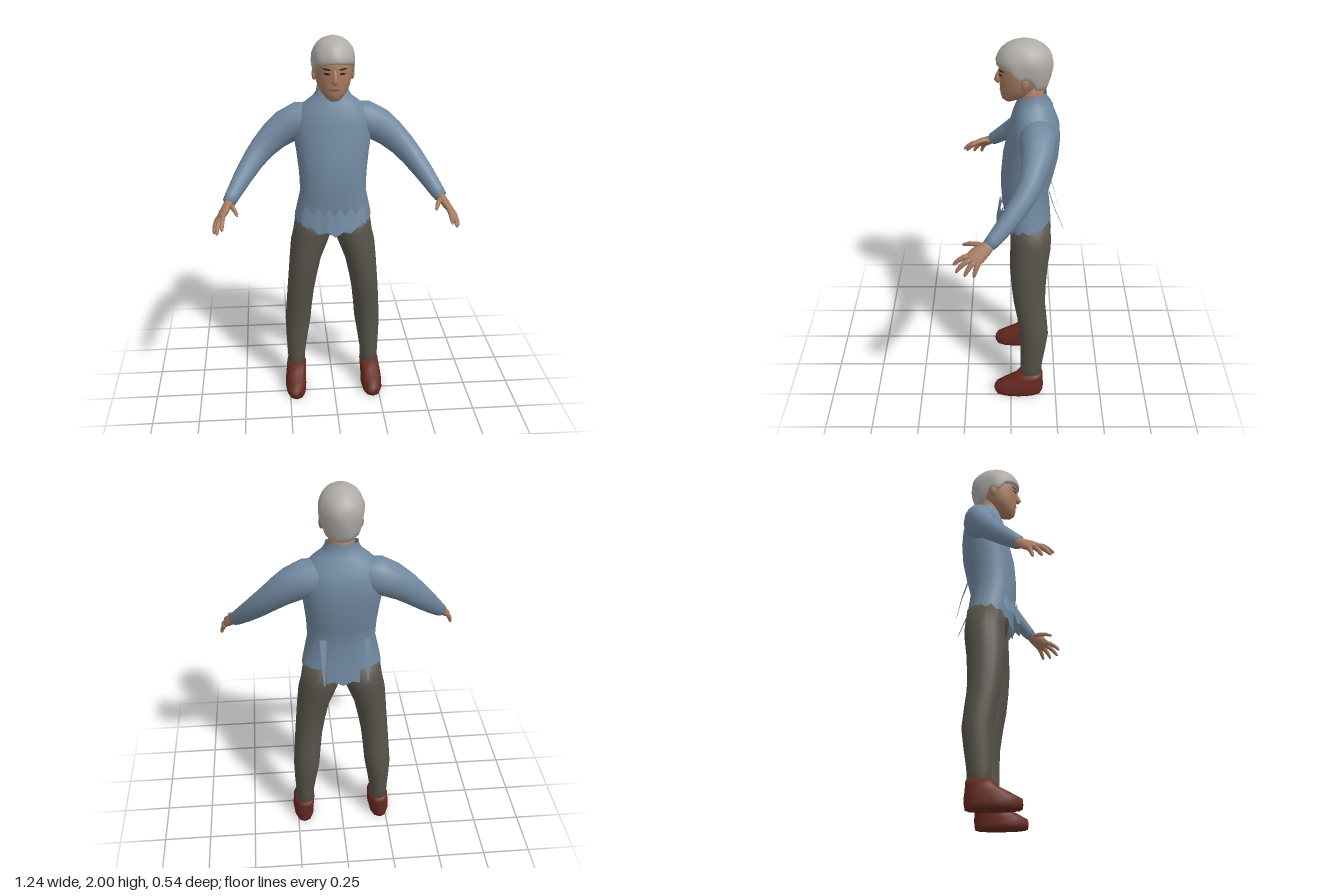
import * as THREE from 'three';

const mat = (name, color, side = THREE.FrontSide) => {
  const m = new THREE.MeshStandardMaterial({ color, side });
  m.name = name;
  return m;
};

// Skin over a stack of rings, each a list of Vector3 of the same length
function skinRings(rings, capped = true) {
  const n = rings[0].length, pos = [], idx = [];
  rings.forEach(r => r.forEach(p => pos.push(p.x, p.y, p.z)));
  for (let i = 0; i < rings.length - 1; i++)
    for (let j = 0; j < n; j++) {
      const a = i * n + j, b = i * n + (j + 1) % n, c = b + n, d = a + n;
      idx.push(a, b, c, a, c, d);
    }
  if (capped) [0, rings.length - 1].forEach((r, end) => {
    const mid = new THREE.Vector3();
    rings[r].forEach(p => mid.addScaledVector(p, 1 / n));
    const k = pos.length / 3;
    pos.push(mid.x, mid.y, mid.z);
    for (let j = 0; j < n; j++) {
      const a = r * n + j, b = r * n + (j + 1) % n;
      end ? idx.push(a, b, k) : idx.push(b, a, k);
    }
  });
  const g = new THREE.BufferGeometry();
  g.setAttribute('position', new THREE.Float32BufferAttribute(pos, 3));
  g.setIndex(idx);
  g.computeVertexNormals();
  return g;
}

// Level rings from rows of [y, centreX, centreZ, radiusX, radiusZ]; angle 0 is the front
function stack(rows, n = 20, power = 1, s = 1) {
  const bend = v => Math.sign(v) * Math.abs(v) ** power;
  return rows.map(([y, cx, cz, rx, rz]) => Array.from({ length: n }, (_, j) => {
    const a = j / n * Math.PI * 2;
    return new THREE.Vector3(cx * s + rx * bend(Math.sin(a)), y, cz + rz * bend(Math.cos(a)));
  }));
}

// Limb along points of [x, y, z, radiusU, radiusV]; ref gives the direction of U
function limb(pts, ref, s = 1, n = 10) {
  const c = pts.map(p => new THREE.Vector3(p[0] * s, p[1], p[2]));
  const r = new THREE.Vector3(ref[0] * s, ref[1], ref[2]);
  return skinRings(c.map((p, i) => {
    const d = c[Math.min(i + 1, c.length - 1)].clone().sub(c[Math.max(i - 1, 0)]).normalize();
    const u = r.clone().addScaledVector(d, -r.dot(d)).normalize();
    const v = d.clone().cross(u);
    return Array.from({ length: n }, (_, j) => {
      const a = j / n * Math.PI * 2;
      return p.clone().addScaledVector(u, pts[i][3] * Math.cos(a)).addScaledVector(v, pts[i][4] * Math.sin(a));
    });
  }));
}

// Linear lookup in rows sorted by their first value
function lookup(rows, t, k) {
  let i = 0;
  while (i < rows.length - 2 && t > rows[i + 1][0]) i++;
  const f = THREE.MathUtils.clamp((t - rows[i][0]) / (rows[i + 1][0] - rows[i][0]), 0, 1);
  return rows[i][k] + (rows[i + 1][k] - rows[i][k]) * f;
}

export function createModel() {
  const model = new THREE.Group();
  const shirt = mat('shirt blue', 0x7189a0, THREE.DoubleSide), trousers = mat('trouser olive grey', 0x57534a);
  const skin = mat('skin', 0xa87c62), hair = mat('hair grey', 0xb0aca7, THREE.DoubleSide);
  const leather = mat('shoe leather', 0x65291f), dark = mat('eye dark', 0x2c2422), lip = mat('lip', 0x85574a);
  const add = (name, geo, m, parent = model) => {
    const mesh = new THREE.Mesh(geo, m);
    mesh.name = name;
    parent.add(mesh);
    return mesh;
  };

  // Shirt body, with a hem that dips and zigzags at front and back
  const body = stack([
    [1.0, 0, -.088, .203, .122], [1.08, 0, -.083, .198, .12], [1.2, 0, -.07, .172, .12], [1.3, 0, -.082, .176, .132],
    [1.4, 0, -.097, .187, .138], [1.5, 0, -.112, .202, .13], [1.57, 0, -.115, .2, .122], [1.62, 0, -.112, .178, .106],
    [1.66, 0, -.11, .14, .09], [1.69, 0, -.108, .1, .077], [1.715, 0, -.106, .084, .068], [1.745, 0, -.108, .078, .062]
  ], 32, .9);
  body[0].forEach((p, j) => {
    const c = Math.cos(j / 32 * Math.PI * 2);
    p.y = 1.05 - .07 * c * c + (j % 2 ? .012 : -.008);
  });
  body.at(-1).forEach(p => { p.y -= .35 * Math.max(0, p.z + .11); });
  add('shirtBody', skinRings(body, false), shirt);

  // Torn layer of cloth hanging off the front
  const tear = new THREE.PlaneGeometry(.34, 1, 12, 1), tp = tear.attributes.position;
  for (let i = 0; i < tp.count; i++) {
    const x = tp.getX(i), col = i % 13;
    const y = i < 13 ? 1.09 + (col % 2) * .05 : 1.035 - .05 * Math.cos(x * 9) + (col % 3) * .015;
    tp.setXYZ(i, x, y, .078 - 2.1 * x * x - (i < 13 ? .02 : 0));
  }
  tear.computeVertexNormals();
  add('tornFrontHem', tear, shirt);

  // Loose strips at the back
  for (const [x, w, z] of [[.1, .035, -.27], [-.12, .03, -.25]]) {
    const strip = new THREE.PlaneGeometry(w, 1, 1, 2), p = strip.attributes.position;
    for (let i = 0; i < p.count; i++) {
      const r = Math.floor(i / 2);
      p.setXYZ(i, x + p.getX(i) * (1 - r * .4), [1.24, 1.13, 1.02][r], [-.19, -.225, z][r]);
    }
    strip.computeVertexNormals();
    add('tornBackStrip', strip, shirt);
  }

  // Trouser seat
  add('trouserSeat', skinRings(stack([
    [.955, 0, -.1, .1, .07], [.99, 0, -.1, .185, .1], [1.05, 0, -.095, .19, .108], [1.12, 0, -.08, .165, .1]], 24)), trousers);

  for (const s of [1, -1]) {
    const side = s > 0 ? 'left' : 'right';
    // Leg and shoe
    add(side + 'TrouserLeg', skinRings(stack([
      [.1, .207, -.11, .046, .056], [.2, .207, -.112, .05, .06], [.3, .202, -.12, .06, .068], [.4, .195, -.125, .07, .076],
      [.5, .187, -.113, .071, .079], [.6, .178, -.098, .073, .083], [.7, .165, -.093, .078, .09],
      [.8, .15, -.093, .085, .097], [.9, .126, -.1, .1, .104], [.96, .108, -.103, .104, .105], [1.06, .1, -.098, .097, .1]
    ], 18, 1, s)), trousers);
    add(side + 'Shoe', skinRings(stack([
      [0, .215, -.042, .054, .132], [.02, .216, -.042, .059, .136], [.05, .216, -.045, .058, .136],
      [.08, .213, -.07, .056, .108], [.11, .21, -.098, .054, .078], [.138, .208, -.11, .053, .065]
    ], 12, .85, s)), leather);

    // Sleeve
    add(side + 'Sleeve', limb([
      [.08, 1.57, -.125, .085, .085], [.17, 1.56, -.128, .095, .09], [.24, 1.528, -.125, .088, .08],
      [.3, 1.485, -.112, .077, .068], [.36, 1.43, -.09, .066, .058], [.41, 1.375, -.055, .058, .052],
      [.47, 1.3, .01, .048, .045], [.52, 1.232, .078, .038, .036], [.537, 1.21, .102, .034, .031]
    ], [.3, 1, 0], s, 16), shirt);

    // Hand: palm, four fingers and thumb
    const hand = new THREE.Group();
    hand.name = side + 'Hand';
    model.add(hand);
    add('palm', limb([
      [.525, 1.224, .085, .025, .022], [.545, 1.2, .115, .032, .021], [.562, 1.178, .15, .041, .02],
      [.578, 1.159, .175, .041, .016], [.584, 1.152, .186, .032, .01]
    ], [.3, -.35, -.85], s, 12), skin, hand);
    const fingers = [
      ['indexFinger', [.564, 1.172, .19], [.57, 1.125, .268]], ['middleFinger', [.578, 1.161, .185], [.597, 1.1, .256]],
      ['ringFinger', [.588, 1.152, .168], [.612, 1.09, .215]], ['littleFinger', [.59, 1.147, .148], [.616, 1.085, .172]],
      ['thumb', [.533, 1.203, .118], [.492, 1.185, .226]]
    ];
    for (const [name, a, b] of fingers) {
      const at = (t, r) => [...a.map((v, k) => v + (b[k] - v) * t + (k === 1 ? .012 * Math.sin(t * Math.PI) : 0)), r, r];
      add(name, limb([at(0, .013), at(.35, .0125), at(.7, .011), at(.92, .008), at(1, .003)], [.3, -.35, -.85], s, 8), skin, hand);
    }
  }

  // Neck and head
  add('neck', skinRings(stack([[1.62, 0, -.11, .065, .06], [1.7, 0, -.098, .062, .062], [1.8, 0, -.085, .068, .07]])), skin);
  const face = [
    [1.697, 0, .008, .024, .022], [1.71, 0, -.002, .042, .046], [1.735, 0, -.022, .064, .073], [1.765, 0, -.038, .08, .091],
    [1.8, 0, -.048, .09, .105], [1.845, 0, -.054, .094, .112], [1.9, 0, -.056, .094, .113], [1.95, 0, -.06, .075, .09]
  ];
  add('head', skinRings(stack(face, 28)), skin);
  const faceZ = (x, y) => lookup(face, y, 2) + lookup(face, y, 4) * Math.sqrt(Math.max(0, 1 - (x / lookup(face, y, 3)) ** 2));

  // Thin painted patches that follow the face
  const patch = (name, x, y, w, h, tilt, m) => {
    const g = new THREE.PlaneGeometry(w, h, 6, 2), p = g.attributes.position;
    for (let i = 0; i < p.count; i++) {
      const e = p.getX(i) / w * 2, px = x + p.getX(i);
      const py = y + p.getY(i) * (1 - .75 * e * e) + tilt * e;
      p.setXYZ(i, px, py, faceZ(px, py) + .003);
    }
    g.computeVertexNormals();
    add(name, g, m);
  };
  for (const s of [1, -1]) {
    patch('eye', s * .038, 1.838, .032, .011, 0, dark);
    patch('eyebrow', s * .04, 1.86, .044, .009, s * .002, dark);
    const ear = add('ear', new THREE.SphereGeometry(1, 10, 8), skin);
    ear.scale.set(.012, .032, .019);
    ear.position.set(s * .094, 1.815, -.068);
    ear.rotation.set(-.15, s * .3, 0);
  }
  patch('mouth', 0, 1.758, .05, .012, 0, lip);
  add('nose', limb([
    [0, 1.853, .05, .008, .008], [0, 1.825, .058, .011, .015], [0, 1.802, .063, .017, .019], [0, 1.792, .056, .015, .014]
  ], [1, 0, 0]), skin);

  // Hair: rings hang to a hairline that is high at the brow and low at the nape
  const hairline = [[-1, 1.757], [-.5, 1.775], [-.3, 1.82], [-.05, 1.845], [.12, 1.82], [.3, 1.835], [.5, 1.87], [1, 1.886]];
  const girth = [[1.75, .76], [1.78, .86], [1.82, .94], [1.87, 1], [1.91, 1], [1.945, .88], [1.97, .71], [1.988, .48], [2, .12]];
  const N = 36, rows = 14, hairRings = [];
  for (let i = 0; i <= rows; i++) {
    hairRings.push(Array.from({ length: N }, (_, j) => {
      const a = j / N * Math.PI * 2, c = Math.cos(a), low = lookup(hairline, c, 1);
      const t = Math.max(0, i - 1) / (rows - 1);
      const y = low + (2 - low) * Math.sin(t * Math.PI / 2);
      const wave = 1 + .015 * Math.sin(a * 7 + y * 40) * Math.cos(t * Math.PI / 2);
      const k = lookup(girth, y, 1) * wave * (i === 0 ? .86 : 1);
      return new THREE.Vector3(.108 * k * Math.sin(a), y, -.064 + .135 * k * c);
    }));
  }
  const top = skinRings(hairRings, false);
  add('hair', top, hair);
  const crown = add('hairCrown', new THREE.CircleGeometry(.0165, 18), hair);
  crown.rotation.x = -Math.PI / 2;
  crown.position.set(0, 1.9995, -.064);
  return model;
}
